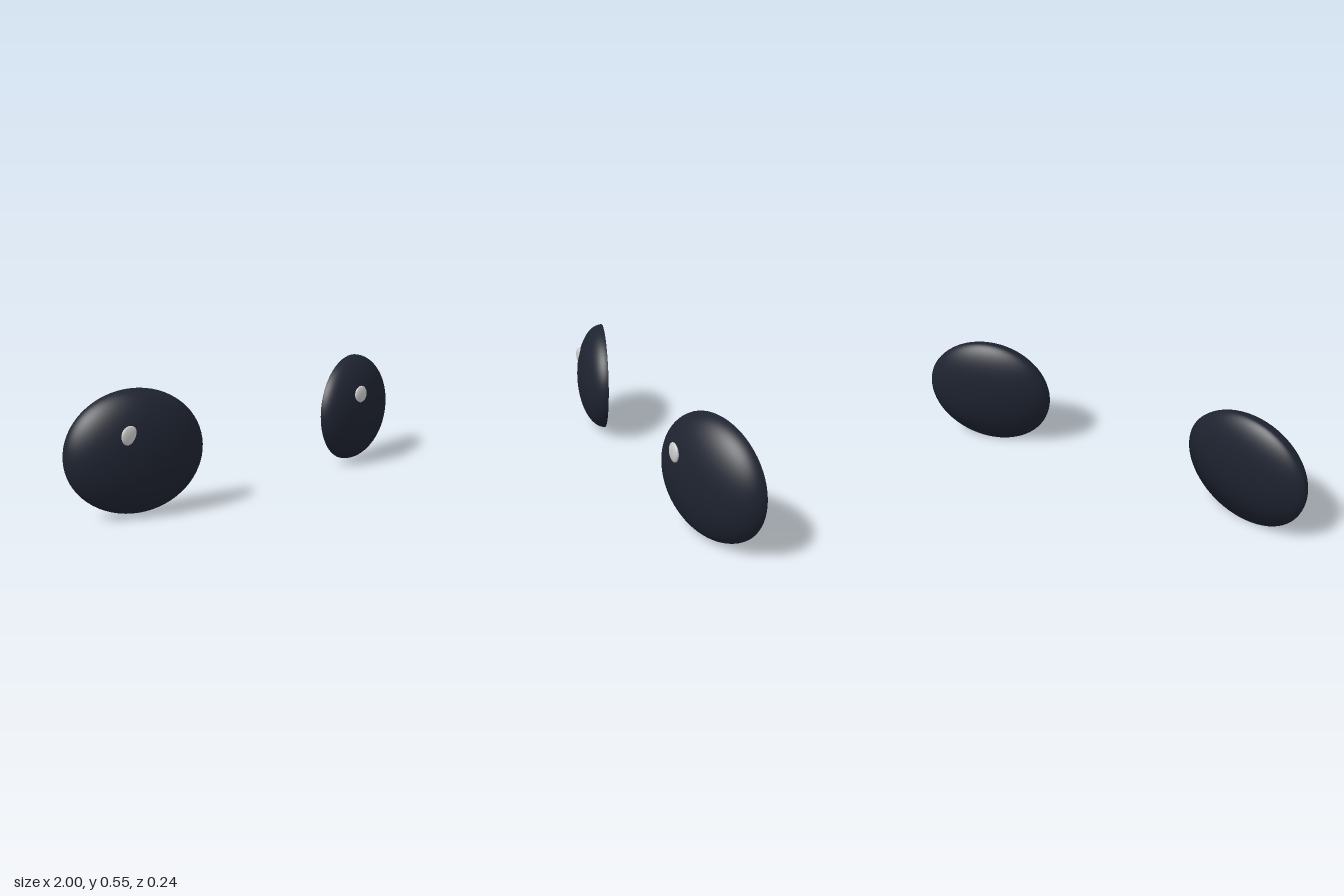
import * as THREE from 'three';

const darkMaterial = new THREE.MeshStandardMaterial({ color: 0x1e2330 });
const glintMaterial = new THREE.MeshStandardMaterial({ color: 0xffffff });

// Ellipsoid dome with its rear half pressed almost flat; soft normals kept
function domeGeometry(a, b, c) {
  const geometry = new THREE.SphereGeometry(1, 64, 48);
  geometry.rotateX(Math.PI / 2); // poles on the z axis, so the rim is a clean ring
  geometry.scale(a, b, c);
  const position = geometry.attributes.position;
  for (let i = 0; i < position.count; i++) {
    const z = position.getZ(i);
    if (z < 0) position.setZ(i, z * 0.03);
  }
  return geometry;
}

// Small flattened bead sitting in the dome surface
function makeGlint(name, x, y, z) {
  const glint = new THREE.Mesh(new THREE.SphereGeometry(1, 32, 20), glintMaterial);
  glint.name = name;
  glint.scale.set(0.042, 0.043, 0.013);
  glint.position.set(x, y, z);
  return glint;
}

export function createModel() {
  const model = new THREE.Group();
  model.name = 'eyes';

  // Mirrored pair of domes, each turned outwards
  const dome = domeGeometry(0.317, 0.276, 0.139);
  for (const side of [1, -1]) {
    const eye = new THREE.Mesh(dome, darkMaterial);
    eye.name = side > 0 ? 'leftEye' : 'rightEye';
    eye.position.set(side * 0.692, 0.276, -0.042);
    eye.rotation.set(-0.02, side * 0.247, 0);
    model.add(eye);
  }

  // Glints both lie towards the same side
  model.add(makeGlint('leftGlint', 0.605, 0.375, 0.106));
  model.add(makeGlint('rightGlint', -0.782, 0.376, 0.061));

  return model;
}
